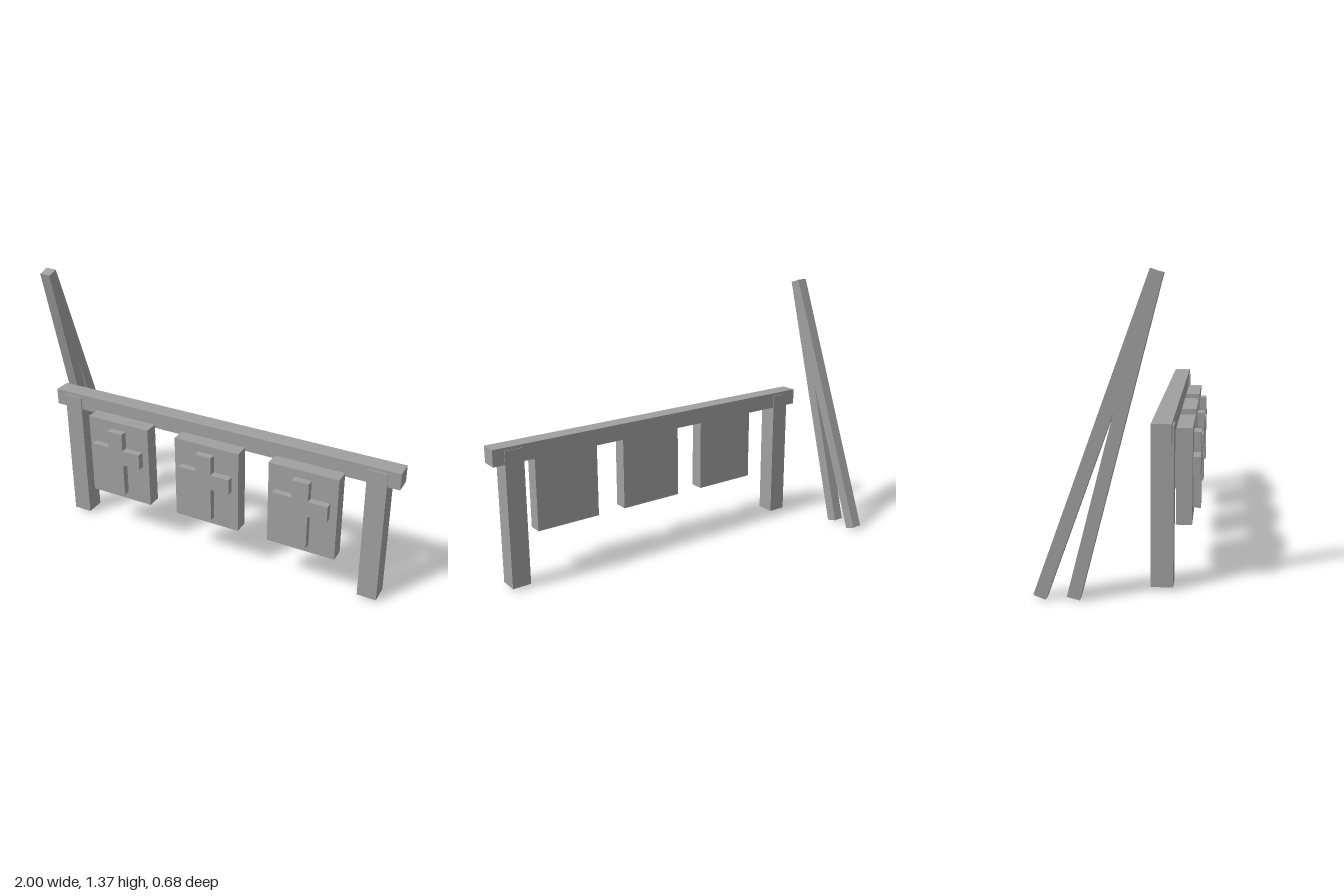
import * as THREE from 'three';

export function createModel() {
  const root = new THREE.Group();
  const grey = new THREE.MeshStandardMaterial({ color: 0xa0a0a0 });
  grey.name = 'grey';

  function add(name, geometry, parent = root) {
    const mesh = new THREE.Mesh(geometry, grey);
    mesh.name = name;
    parent.add(mesh);
    return mesh;
  }

  // Box given by its limits on each axis
  function box(name, [x0, x1], [y0, y1], [z0, z1], parent) {
    const mesh = add(name, new THREE.BoxGeometry(x1 - x0, y1 - y0, z1 - z0), parent);
    mesh.position.set((x0 + x1) / 2, (y0 + y1) / 2, (z0 + z1) / 2);
    return mesh;
  }

  // Frame: top beam on two posts
  box('beam', [-0.9, 1], [0.655, 0.74], [0.142, 0.229]);
  box('rightPost', [-0.841, -0.743], [0.015, 0.724], [0.138, 0.236]);
  box('leftPost', [0.842, 0.94], [0.015, 0.724], [0.138, 0.236]);

  // Raised cross outline, centred on x
  const a = 0.043, b = 0.141;
  const outline = [
    [-a, 0.278], [a, 0.278], [a, 0.457], [b, 0.457], [b, 0.54], [a, 0.54],
    [a, 0.635], [-a, 0.635], [-a, 0.54], [-b, 0.54], [-b, 0.457], [-a, 0.457],
  ].map(([x, y]) => new THREE.Vector2(x, y));
  const crossGeometry = new THREE.ExtrudeGeometry(new THREE.Shape(outline), {
    depth: 0.035, bevelEnabled: false,
  });

  // Three hanging panels, each with a cross on its front
  [-0.465, 0.048, 0.562].forEach((x) => {
    const group = new THREE.Group();
    group.name = 'hangingPanel';
    group.position.x = x;
    root.add(group);
    box('panel', [-0.177, 0.177], [0.235, 0.676], [0.235, 0.308], group);
    add('cross', crossGeometry, group).position.z = 0.308;
  });

  // Two leaning poles that meet at the top
  function pole(name, bottom, top) {
    const dir = top.clone().sub(bottom);
    const length = dir.length();
    const mesh = add(name, new THREE.BoxGeometry(0.057, length, 0.057));
    mesh.position.copy(bottom).add(top).multiplyScalar(0.5);
    mesh.rotation.set(Math.atan2(dir.z, dir.y), 0, -Math.asin(dir.x / length));
  }
  const apex = new THREE.Vector3(-0.935, 1.366, 0.17);
  pole('frontPole', new THREE.Vector3(-0.971, 0.012, -0.171), apex);
  pole('backPole', new THREE.Vector3(-0.971, 0.012, -0.314), apex);

  return root;
}
